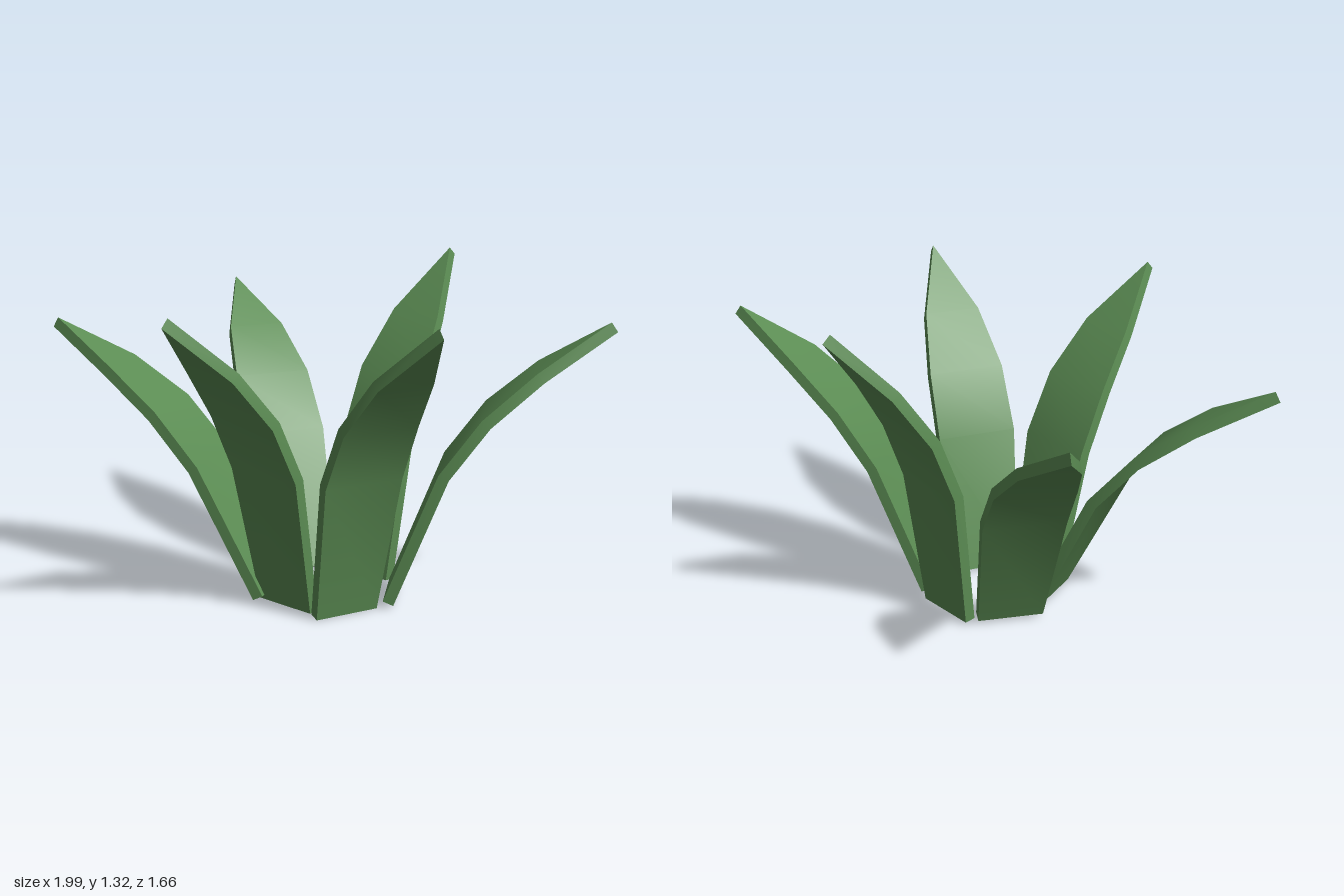
import * as THREE from 'three';
import { toCreasedNormals } from 'three/addons/utils/BufferGeometryUtils.js';

// Leaf profile: distance along the chord, inward bow, half width
const ROWS = [
  [0, 0, 0.135],
  [0.56, -0.155, 0.167],
  [0.835, -0.16, 0.16],
  [1.1, -0.107, 0.117],
  [1.41, 0, 0],
];
const THICKNESS = 0.045;

// Each leaf: base centre and tip of its inner face
const LEAVES = [
  ['leftLeaf', [0.31, 0.012, 0.035], [0.965, 1.265, 0.128]],
  ['backLeaf', [0.055, 0.02, -0.265], [-0.043, 1.32, -0.8]],
  ['frontLeaf', [0.15, 0.025, 0.16], [0.285, 1.27, 0.795]],
  ['frontRightLeaf', [-0.005, 0.035, 0.135], [-0.795, 1.075, 0.652]],
  ['backLeftLeaf', [0.3, 0.035, -0.2], [0.895, 1.16, -0.795]],
  ['rightLeaf', [-0.1, 0.035, -0.095], [-0.975, 1.11, -0.348]],
];

// Thick, bowed blade running along +y, with its outer face towards +z
function leafGeometry() {
  const rings = ROWS.map(([y, z, w], i) => {
    const a = ROWS[Math.max(i - 1, 0)];
    const b = ROWS[Math.min(i + 1, ROWS.length - 1)];
    const len = Math.hypot(b[0] - a[0], b[1] - a[1]);
    const oy = y - ((b[1] - a[1]) / len) * THICKNESS;
    const oz = z + ((b[0] - a[0]) / len) * THICKNESS;
    return [[-w, y, z], [w, y, z], [w, oy, oz], [-w, oy, oz]];
  });
  const pos = [];
  const tri = (...points) => points.forEach((p) => pos.push(...p));

  // Base cap
  const r = rings[0];
  tri(r[0], r[1], r[2]);
  tri(r[0], r[2], r[3]);

  // Inner face, edges and outer face; the broad faces close to a point at the tip
  for (let j = 0; j < rings.length - 1; j++) {
    const a = rings[j], b = rings[j + 1];
    for (let i = 0; i < 4; i++) {
      const k = (i + 1) % 4;
      const pointed = j === rings.length - 2 && i % 2 === 0;
      if (!pointed) tri(a[i], b[i], b[k]);
      tri(a[i], b[k], a[k]);
    }
  }
  const geo = new THREE.BufferGeometry();
  geo.setAttribute('position', new THREE.Float32BufferAttribute(pos, 3));
  return toCreasedNormals(geo, 0.6);
}

export function createModel() {
  const plant = new THREE.Group();
  plant.name = 'plant';
  const leafGreen = new THREE.MeshStandardMaterial({ color: 0x5c8d54 });
  leafGreen.name = 'leafGreen';
  const geo = leafGeometry();

  for (const [name, base, tip] of LEAVES) {
    const origin = new THREE.Vector3(...base);
    const along = new THREE.Vector3(...tip).sub(origin);
    const scale = along.length() / 1.41;
    along.normalize();
    const across = new THREE.Vector3(along.z, 0, -along.x).normalize();
    const outward = new THREE.Vector3().crossVectors(across, along);

    const leaf = new THREE.Mesh(geo, leafGreen);
    leaf.name = name;
    leaf.quaternion.setFromRotationMatrix(new THREE.Matrix4().makeBasis(across, along, outward));
    leaf.position.copy(origin);
    leaf.scale.setScalar(scale);
    plant.add(leaf);
  }
  return plant;
}
